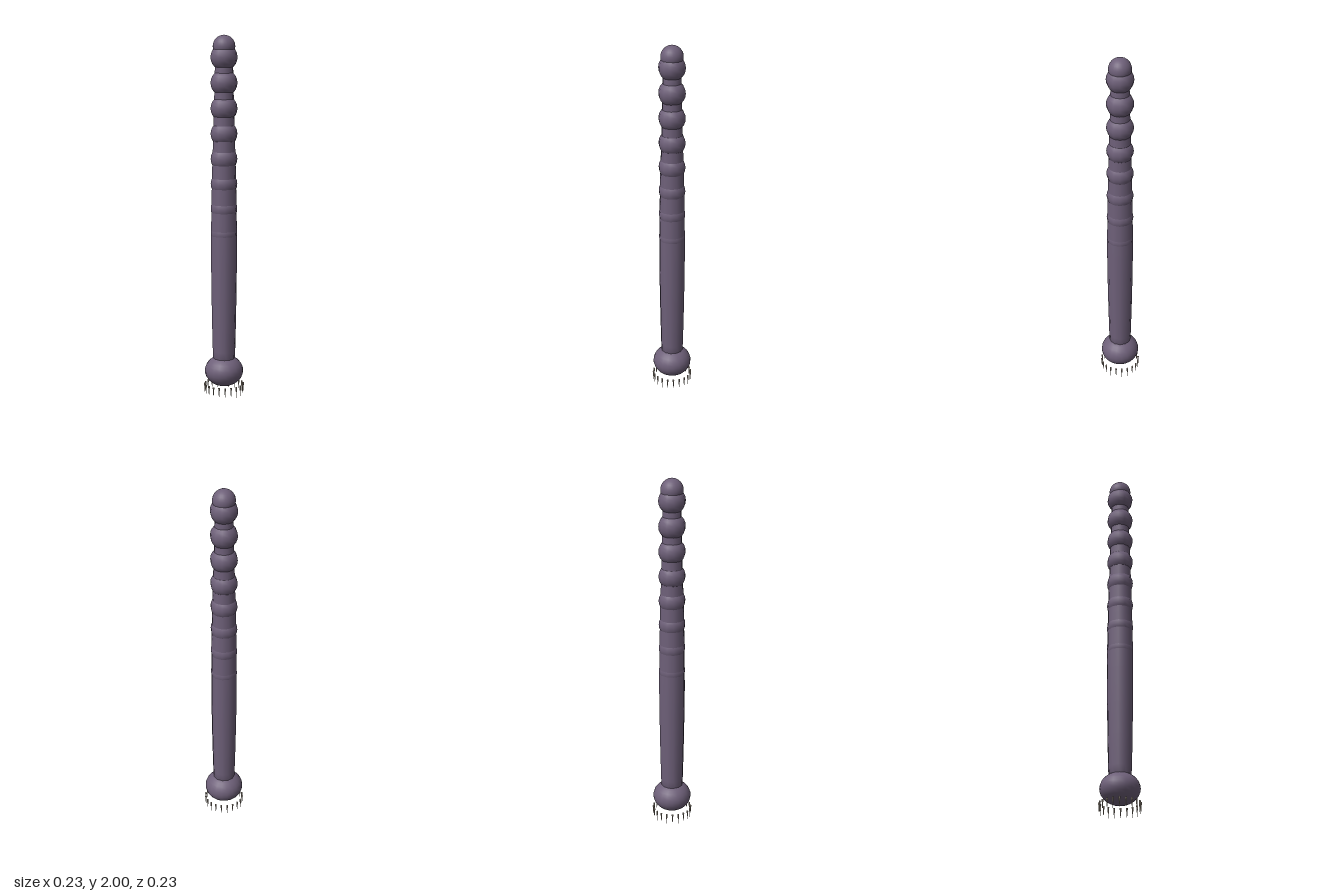
import * as THREE from 'three';

export function createModel() {
  const model = new THREE.Group();
  const skin = new THREE.MeshStandardMaterial({ color: 0x6e6079 });
  skin.name = 'dusky purple skin';
  const horn = new THREE.MeshStandardMaterial({ color: 0xaea294 });
  horn.name = 'pale horn';

  function add(name, geometry, material, x, y, z, parent = model) {
    const mesh = new THREE.Mesh(geometry, material);
    mesh.name = name;
    mesh.position.set(x, y, z);
    parent.add(mesh);
    return mesh;
  }

  // Tapering trunk, closed at both ends
  const profile = [
    [0, 0.14], [0.057, 0.14], [0.063, 0.25], [0.067, 0.42], [0.07, 0.6], [0.072, 0.8],
    [0.071, 0.95], [0.068, 1.13], [0.065, 1.27], [0.061, 1.4], [0.057, 1.54],
    [0.053, 1.67], [0.05, 1.81], [0.046, 1.92], [0, 1.92],
  ].map(([r, y]) => new THREE.Vector2(r, y));
  add('trunk', new THREE.LatheGeometry(profile, 12), skin, 0, 0, 0);

  // Swollen segments, evenly spaced along the upper trunk
  const segments = new THREE.Group();
  segments.name = 'segments';
  model.add(segments);
  const bulge = new THREE.SphereGeometry(0.073, 12, 12);
  for (let i = 0; i < 8; i++) {
    add('segment', bulge, skin, 0, 1.881 - i * 0.1375, 0, segments);
  }

  // Rounded tip
  add('tip', new THREE.SphereGeometry(0.061, 24, 16), skin, 0, 1.939, 0);

  // Flattened bulb at the foot
  add('bulb', new THREE.SphereGeometry(0.108, 20, 16), skin, 0, 0.135, 0).scale.y = 0.81;

  // Ring of hooks pointing down
  const hooks = new THREE.Group();
  hooks.name = 'hooks';
  model.add(hooks);
  const hook = new THREE.ConeGeometry(0.0055, 0.062, 6).rotateX(Math.PI);
  for (let i = 0; i < 20; i++) {
    const a = (i / 20) * Math.PI * 2;
    add('hook', hook, horn, Math.cos(a) * 0.108, 0.031, Math.sin(a) * 0.108, hooks);
  }
  return model;
}
